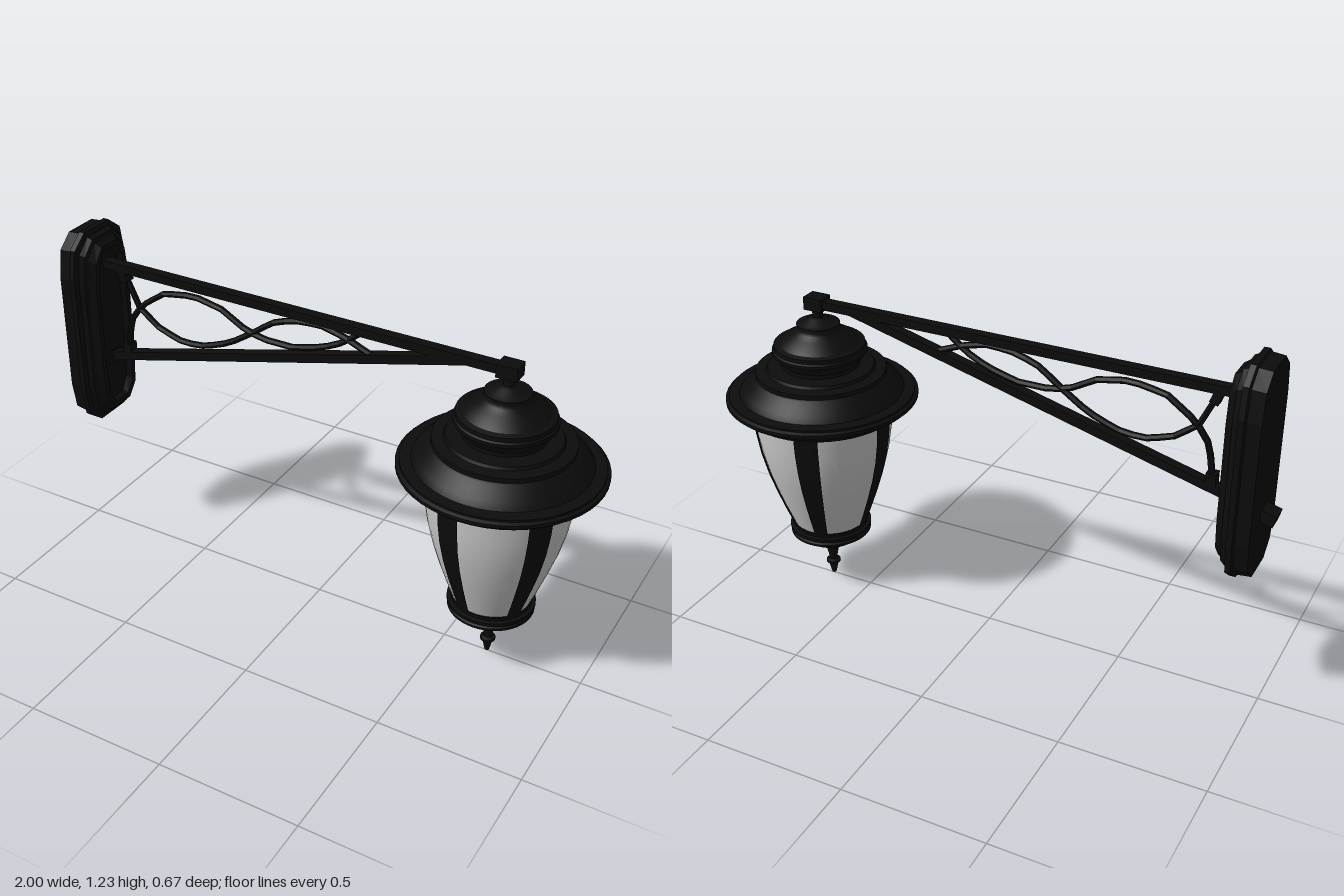
import * as THREE from 'three';
import { toCreasedNormals } from 'three/addons/utils/BufferGeometryUtils.js';

const black = new THREE.MeshStandardMaterial({ color: 0x0c0c0c, side: THREE.DoubleSide });
const blackFlat = new THREE.MeshStandardMaterial({ color: 0x0c0c0c, flatShading: true, side: THREE.DoubleSide });
const grey = new THREE.MeshStandardMaterial({ color: 0xcccccc, side: THREE.DoubleSide });

const LAMP_X = 0.66;
const SIDES = 48;

function add(parent, name, geometry, material) {
  const mesh = new THREE.Mesh(geometry, material);
  mesh.name = name;
  parent.add(mesh);
  return mesh;
}

// Turned part from [radius, height] pairs, listed bottom to top
function turned(profile, segments = SIDES, start = 0, length = Math.PI * 2) {
  const points = profile.map(([r, y]) => new THREE.Vector2(r, y));
  return toCreasedNormals(new THREE.LatheGeometry(points, segments, start, length), 0.5);
}

// Square bar between two points of the z = 0 plane
function bar(parent, name, [x0, y0], [x1, y1], height, depth) {
  const length = Math.hypot(x1 - x0, y1 - y0);
  const mesh = add(parent, name, new THREE.BoxGeometry(length, height, depth), blackFlat);
  mesh.position.set((x0 + x1) / 2, (y0 + y1) / 2, 0);
  mesh.rotation.z = Math.atan2(y1 - y0, x1 - x0);
  return mesh;
}

// Stepped plate: chamfered outline lofted along x, each section [x, inset, scale]
function plateGeometry(sections) {
  const corner = [[1, 0.15], [0.88, 0.05], [0.47, 0.003]];
  const reversed = [...corner].reverse();
  const quarters = [[corner, -1, 1], [reversed, 1, 1], [corner, 1, -1], [reversed, -1, -1]];
  const positions = [], index = [];
  for (const [x, inset, scale] of sections) {
    const halfWidth = 0.143 - inset, halfHeight = 0.37 - inset;
    for (const [points, sz, sy] of quarters) {
      for (const [u, drop] of points) {
        positions.push(x, sy * (halfHeight - drop) * scale, sz * u * halfWidth * scale);
      }
    }
  }
  const n = 12;
  for (let i = 0; i < sections.length - 1; i++) {
    for (let j = 0; j < n; j++) {
      const a = i * n + j, b = i * n + (j + 1) % n;
      index.push(a, b, b + n, a, b + n, a + n);
    }
  }
  const geometry = new THREE.BufferGeometry();
  geometry.setAttribute('position', new THREE.Float32BufferAttribute(positions, 3));
  geometry.setIndex(index);
  geometry.computeVertexNormals();
  return geometry;
}

function createWallMount() {
  const mount = new THREE.Group();
  mount.name = 'wallMount';
  const plate = add(mount, 'wallPlate', plateGeometry([
    [-0.95, 0.012, 0], [-0.95, 0.012, 1], [-0.905, 0.008, 1], [-0.9, 0, 1], [-0.88, 0, 1],
    [-0.875, 0.018, 1], [-0.857, 0.025, 1], [-0.852, 0.038, 1], [-0.83, 0.052, 1],
    [-0.83, 0.07, 1], [-0.85, 0.08, 1], [-0.85, 0.08, 0],
  ]), blackFlat);
  plate.position.y = 0.862;
  bar(mount, 'wallBolt', [-0.995, 0.7], [-0.84, 0.742], 0.042, 0.062);
  return mount;
}

function createBracket() {
  const bracket = new THREE.Group();
  bracket.name = 'bracket';
  bar(bracket, 'topArm', [-0.86, 1.1], [0.66, 1.1], 0.03, 0.036);
  bar(bracket, 'diagonalBrace', [-0.87, 0.735], [0.52, 1.1], 0.03, 0.036);

  // Two interlaced wavy rods between the arm and the brace
  const waves = {
    upperScroll: [[-0.78, 1.09], [-0.72, 0.96], [-0.64, 0.9], [-0.54, 0.87], [-0.45, 0.88], [-0.35, 0.92],
      [-0.26, 0.98], [-0.18, 1.04], [-0.1, 1.07], [0, 1.08], [0.09, 1.06], [0.19, 1.02]],
    lowerScroll: [[-0.78, 0.77], [-0.76, 0.9], [-0.71, 0.97], [-0.61, 1.04], [-0.49, 1.06], [-0.38, 1.04],
      [-0.29, 0.99], [-0.22, 0.97], [-0.1, 0.97], [0.01, 1], [0.09, 1.04], [0.15, 1.09]],
  };
  for (const [name, points] of Object.entries(waves)) {
    const path = new THREE.CurvePath();
    for (let i = 0; i < points.length - 1; i++) {
      path.add(new THREE.LineCurve3(
        new THREE.Vector3(...points[i], 0), new THREE.Vector3(...points[i + 1], 0)));
    }
    add(bracket, name, new THREE.TubeGeometry(path, 24, 0.011, 6), blackFlat);
  }
  bar(bracket, 'upperScrollClip', [-0.78, 1.09], [-0.765, 1.05], 0.03, 0.036);
  bar(bracket, 'lowerScrollClip', [-0.777, 0.76], [-0.777, 0.81], 0.034, 0.036);

  const endBlock = add(bracket, 'endBlock', new THREE.BoxGeometry(0.07, 0.046, 0.06), blackFlat);
  endBlock.position.set(LAMP_X, 1.102, 0);
  return bracket;
}

function createLantern() {
  const lantern = new THREE.Group();
  lantern.name = 'lantern';
  lantern.position.x = LAMP_X;

  // Stem, domed cap and wide brim
  add(lantern, 'roof', turned([
    [0, 0.71], [0.28, 0.71], [0.285, 0.73], [0.3, 0.738], [0.32, 0.738], [0.323, 0.75], [0.337, 0.753],
    [0.337, 0.765], [0.325, 0.77], [0.325, 0.777], [0.288, 0.78], [0.275, 0.8], [0.25, 0.82],
    [0.235, 0.838], [0.228, 0.842], [0.228, 0.858], [0.19, 0.862], [0.185, 0.872], [0.137, 0.876],
    [0.137, 0.89], [0.148, 0.905], [0.153, 0.918], [0.165, 0.924], [0.165, 0.936], [0.158, 0.94],
    [0.158, 0.955], [0.14, 0.96], [0.125, 0.975], [0.1, 0.99], [0.08, 1.005], [0.075, 1.015],
    [0.075, 1.028], [0.055, 1.033], [0.035, 1.045], [0.018, 1.05], [0.018, 1.09],
  ]), black);

  // Tapering glass with five curved ribs
  const glass = [[0.128, 0.24], [0.155, 0.31], [0.183, 0.39], [0.208, 0.47], [0.227, 0.55], [0.239, 0.63], [0.244, 0.715]];
  add(lantern, 'glass', turned(glass), grey);
  const rib = [...glass.map(([r, y]) => [r + 0.006, y]), ...[...glass].reverse().map(([r, y]) => [r - 0.006, y])];
  const width = 0.34;
  for (let i = 0; i < 5; i++) {
    const centre = Math.PI * (0.7 + 0.4 * i);
    add(lantern, 'rib', turned(rib, 5, centre - width / 2, width), black);
  }

  // Bottom cup and finial
  add(lantern, 'bottomCup', turned([
    [0, 0.143], [0.03, 0.143], [0.07, 0.155], [0.1, 0.172], [0.118, 0.19], [0.132, 0.195], [0.146, 0.205],
    [0.146, 0.213], [0.138, 0.217], [0.148, 0.225], [0.148, 0.236], [0.135, 0.238], [0.137, 0.253], [0, 0.253],
  ]), black);
  add(lantern, 'finial', turned([
    [0, 0], [0.008, 0.005], [0.018, 0.05], [0.026, 0.053], [0.026, 0.062], [0.014, 0.066],
    [0.017, 0.09], [0.024, 0.12], [0.028, 0.145],
  ], 24), black);
  return lantern;
}

export function createModel() {
  const model = new THREE.Group();
  model.name = 'wallLantern';
  model.add(createWallMount(), createBracket(), createLantern());
  return model;
}
